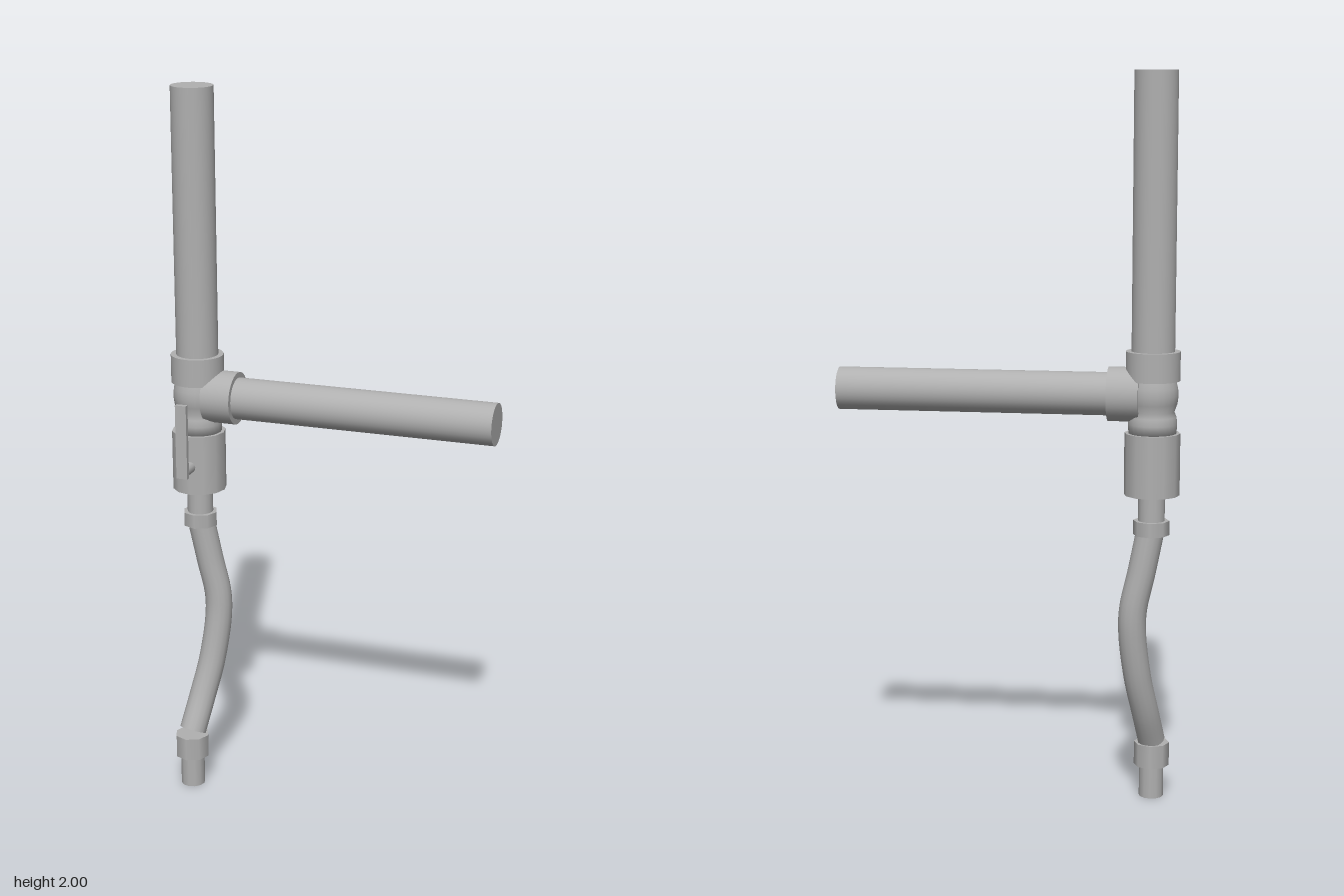
import * as THREE from 'three';

export function createModel() {
  const group = new THREE.Group();
  const metal = new THREE.MeshStandardMaterial({ color: 0xb0b0b0 });
  metal.name = 'grey metal';
  const X = -0.391, Z = -0.033, BRANCH_Y = 1.148;

  const add = (name, geometry, x = 0, y = 0, z = 0) => {
    const mesh = new THREE.Mesh(geometry, metal);
    mesh.name = name;
    mesh.position.set(x, y, z);
    group.add(mesh);
    return mesh;
  };
  // upright cylinder between two heights
  const upright = (name, r, y0, y1, sides = 32, z = Z) =>
    add(name, new THREE.CylinderGeometry(r, r, y1 - y0, sides), X, (y0 + y1) / 2, z);
  // cylinder along x
  const sideways = (name, r, x0, x1) => {
    const g = new THREE.CylinderGeometry(r, r, x1 - x0, 32).rotateZ(Math.PI / 2);
    return add(name, g, (x0 + x1) / 2, BRANCH_Y, Z);
  };

  // rigid pipes and their sockets
  upright('upperPipe', 0.058, 1.2, 2);
  upright('upperSocket', 0.073, 1.187, 1.265);
  sideways('branchPipe', 0.058, -0.3, 0.463);
  sideways('branchSocket', 0.073, -0.357, -0.272);

  // bulging tee body
  const profile = [[0, 1.2], [0.058, 1.2], [0.062, 1.187], [0.067, 1.168], [0.069, 1.148],
    [0.066, 1.125], [0.058, 1.103], [0.064, 1.09], [0.066, 1.07], [0.064, 1.04], [0, 1.04]]
    .reverse().map(([r, y]) => new THREE.Vector2(r, y));
  add('teeBody', new THREE.LatheGeometry(profile, 24), X, 0, Z);

  // valve with its outlet
  upright('valveBody', 0.075, 0.877, 1.045, 12);
  upright('valveOutlet', 0.036, 0.79, 0.88, 16);

  // lever handle on the front
  const post = new THREE.CylinderGeometry(0.017, 0.017, 0.07, 12).rotateX(Math.PI / 2);
  add('handlePost', post, X, 0.957, 0.05);
  add('handleLever', new THREE.BoxGeometry(0.032, 0.21, 0.013), X, 1.045, 0.087);

  // flexible hose with a coupling at each end
  const path = new THREE.CatmullRomCurve3([
    [X, 0.79, -0.031], [-0.366, 0.66, -0.038], [-0.345, 0.56, -0.041], [-0.343, 0.49, -0.037],
    [-0.357, 0.36, -0.016], [-0.375, 0.26, 0.015], [-0.39, 0.165, 0.058],
  ].map(p => new THREE.Vector3(...p)));
  add('hose', new THREE.TubeGeometry(path, 40, 0.038, 16));
  upright('upperCoupling', 0.049, 0.767, 0.806, 8);
  upright('lowerCoupling', 0.049, 0.09, 0.155, 8, 0.061);
  upright('nozzle', 0.034, 0, 0.1, 12, 0.061);

  // cap on the slanted lower end of the hose
  const cap = add('hoseEnd', new THREE.CircleGeometry(0.038, 16));
  cap.position.copy(path.getPoint(1));
  cap.lookAt(path.getPoint(1).add(path.getTangent(1)));

  return group;
}
